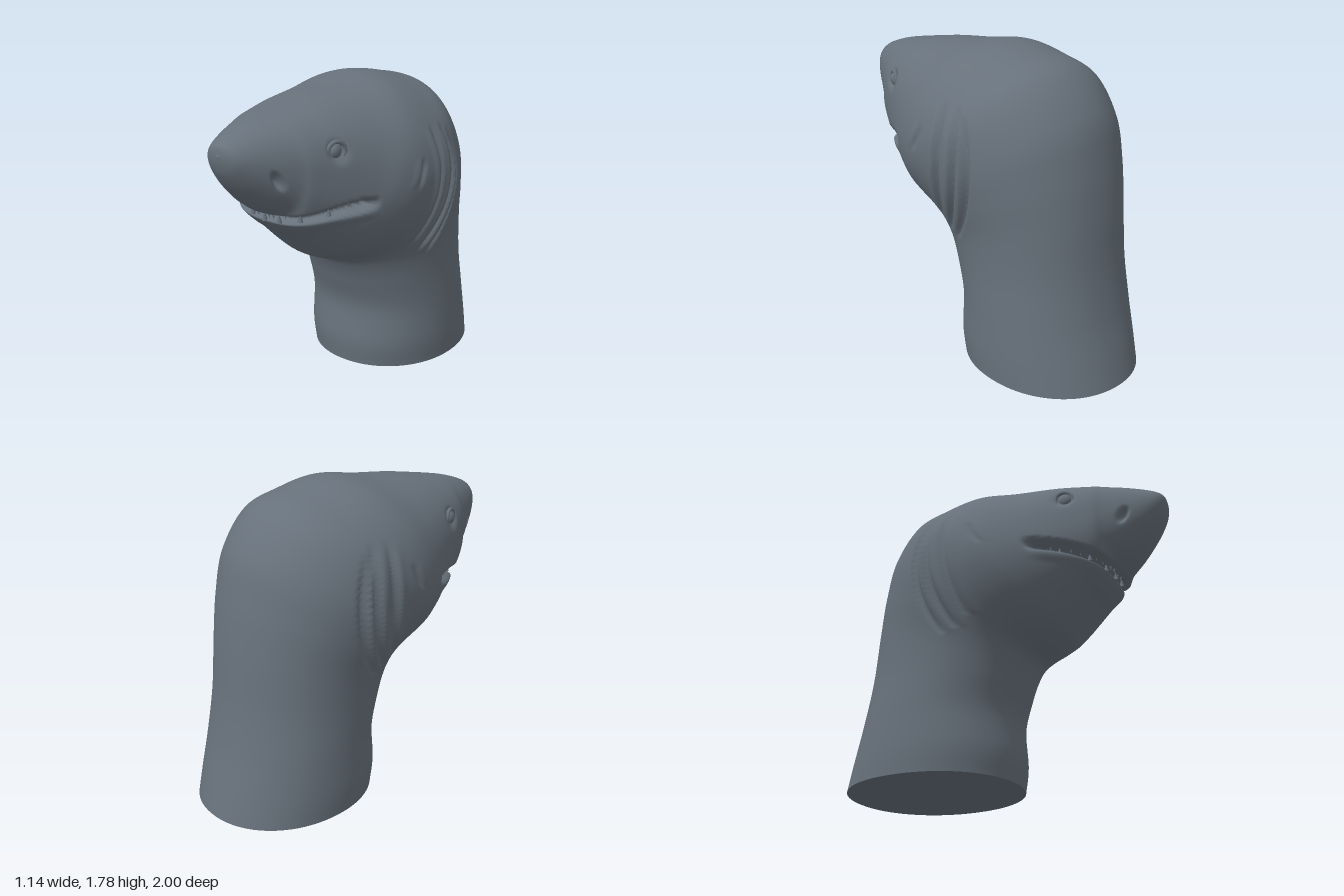
import * as THREE from 'three';

const skin = new THREE.MeshStandardMaterial({ color: 0x67717b });
skin.name = 'slate grey skin';

const SECTIONS = 220, SIDES = 160;

// Cross-sections from neck to snout: [back/top z, y, throat z, y, half width, roundness]
const sections = [
  [-1.0, 0, 0.03, 0, 0.465, 2.1],
  [-0.96, 0.16, 0.045, 0.15, 0.47, 2.1],
  [-0.905, 0.38, 0.03, 0.38, 0.463, 2.1],
  [-0.86, 0.65, 0.08, 0.56, 0.458, 2.1],
  [-0.83, 0.95, 0.12, 0.66, 0.47, 2.1],
  [-0.79, 1.22, 0.16, 0.72, 0.505, 2.05],
  [-0.72, 1.47, 0.22, 0.75, 0.54, 2],
  [-0.55, 1.68, 0.28, 0.77, 0.56, 2],
  [-0.33, 1.75, 0.36, 0.81, 0.555, 2],
  [-0.1, 1.785, 0.42, 0.86, 0.52, 2.05],
  [0.15, 1.75, 0.47, 0.91, 0.46, 2.15],
  [0.4, 1.72, 0.54, 0.98, 0.395, 2.3],
  [0.55, 1.695, 0.61, 1.035, 0.345, 2.4],
  [0.64, 1.68, 0.665, 1.09, 0.31, 2.4],
  [0.7, 1.67, 0.705, 1.15, 0.275, 2.3],
  [0.8, 1.65, 0.8, 1.22, 0.22, 2.2],
  [0.9, 1.62, 0.9, 1.32, 0.16, 2.1],
  [0.96, 1.595, 0.965, 1.41, 0.11, 2],
  [0.99, 1.57, 0.99, 1.47, 0.06, 2],
  [1.0, 1.526, 1.0, 1.524, 0.002, 2],
];

// Gill slits: curve z(y) as three [z, y] points, and depth
const gills = [
  [[-0.14, 1.52], [-0.15, 1.2], [-0.06, 0.86], 0.028],
  [[-0.24, 1.52], [-0.27, 1.18], [-0.13, 0.8], 0.034],
  [[-0.29, 1.48], [-0.35, 1.15], [-0.2, 0.77], 0.034],
  [[0.0, 1.38], [0.02, 1.31], [0.06, 1.24], 0.014],
];

const mouthY = z => 1.2 - 0.065 * ((z - 0.33) / 0.35) ** 2;
const falloff = d => Math.max(0, 1 - d * d) ** 2;

// Presses gill slits, mouth, eye sockets and nostrils into the skin
function sculpt(p) {
  const side = Math.sign(p.x);
  let push = 0;
  for (const [a, b, c, depth] of gills) {
    if (p.y > a[1] || p.y < c[1]) continue;
    const t = (a[1] - p.y) / (a[1] - c[1]);
    const z = a[0] * (1 - t) * (1 - 2 * t) + b[0] * 4 * t * (1 - t) + c[0] * t * (2 * t - 1);
    const d = p.z - z, fade = Math.sqrt(Math.sin(Math.PI * t));
    push += depth * fade * (falloff(d / 0.025) - 0.35 * falloff((d - 0.045) / 0.04));
  }
  push += 0.03 * falloff(Math.hypot(p.z - 0.5, p.y - 1.5) / 0.075);
  const slant = (p.z - 0.8) - (p.y - 1.39) * 0.4;
  push += 0.04 * falloff(Math.hypot(slant / 0.035, (p.y - 1.39) / 0.065));
  if (Math.abs(p.x) > 0.08) p.x -= side * push;

  if (p.z > 0.3) {
    const open = Math.min(1, (p.z - 0.3) / 0.1);
    const d = p.y - mouthY(p.z);
    const groove = falloff(d / 0.04) * open;
    p.x *= 1 - 0.14 * groove;
    p.z -= 0.06 * groove;
    // Raised lower lip below the gap
    p.x *= 1 + 0.025 * falloff((d + 0.06) / 0.04) * open;
  }
  return p;
}

function buildBody() {
  const top = new THREE.CatmullRomCurve3(
    sections.map(s => new THREE.Vector3(s[4], s[1], s[0])), false, 'catmullrom', 0.5);
  const low = new THREE.CatmullRomCurve3(
    sections.map(s => new THREE.Vector3(s[5], s[3], s[2])), false, 'catmullrom', 0.5);
  const pos = [], index = [];
  for (let i = 0; i <= SECTIONS; i++) {
    const a = top.getPoint(i / SECTIONS), b = low.getPoint(i / SECTIONS);
    for (let j = 0; j < SIDES; j++) {
      const t = (j / SIDES) * Math.PI * 2, e = 2 / b.x;
      const c = Math.sign(Math.cos(t)) * Math.abs(Math.cos(t)) ** e;
      const s = Math.sign(Math.sin(t)) * Math.abs(Math.sin(t)) ** e;
      const p = sculpt(new THREE.Vector3(
        s * a.x,
        (a.y + b.y) / 2 + c * (a.y - b.y) / 2,
        (a.z + b.z) / 2 + c * (a.z - b.z) / 2));
      pos.push(p.x, p.y, p.z);
      if (i < SECTIONS) {
        const k = (j + 1) % SIDES, n = i * SIDES, m = n + SIDES;
        index.push(n + j, m + j, n + k, m + j, m + k, n + k);
      }
    }
  }
  const geo = new THREE.BufferGeometry();
  geo.setAttribute('position', new THREE.Float32BufferAttribute(pos, 3));
  geo.setIndex(index);
  geo.computeVertexNormals();
  return geo;
}

// Flat underside closing the neck
function buildBase(body) {
  const pos = [0, 0, -0.485], index = [];
  const src = body.attributes.position;
  for (let j = 0; j < SIDES; j++) {
    pos.push(src.getX(j), src.getY(j), src.getZ(j));
    index.push(0, j + 1, ((j + 1) % SIDES) + 1);
  }
  const geo = new THREE.BufferGeometry();
  geo.setAttribute('position', new THREE.Float32BufferAttribute(pos, 3));
  geo.setIndex(index);
  geo.computeVertexNormals();
  return geo;
}

export function createModel() {
  const model = new THREE.Group();
  model.name = 'sharkHead';
  const add = (name, geo, x, y, z) => {
    const mesh = new THREE.Mesh(geo, skin);
    mesh.name = name;
    mesh.position.set(x, y, z);
    model.add(mesh);
    return mesh;
  };

  const bodyGeo = buildBody();
  add('headAndNeck', bodyGeo, 0, 0, 0);
  add('neckBase', buildBase(bodyGeo), 0, 0, 0);

  // Closest skin point, with a weight per axis
  const src = bodyGeo.attributes.position;
  const nearest = (x, y, z, wx, wy, wz) => {
    let best = Infinity;
    const p = new THREE.Vector3(), out = new THREE.Vector3();
    for (let i = 0; i < src.count; i++) {
      p.fromBufferAttribute(src, i);
      if (p.z < -0.2 || p.x * x < 0) continue;
      const d = wx * (p.x - x) ** 2 + wy * (p.y - y) ** 2 + wz * (p.z - z) ** 2;
      if (d < best) { best = d; out.copy(p); }
    }
    return out;
  };

  // Eyes with raised lids
  const eyeSpot = nearest(0.4, 1.5, 0.5, 0.01, 1, 1);
  for (const s of [1, -1]) {
    const name = s > 0 ? 'left' : 'right';
    const eye = add(name + 'Eye', new THREE.SphereGeometry(0.042, 24, 16), s * eyeSpot.x, 1.5, 0.5);
    eye.scale.x = 0.75;
    const lid = add(name + 'Eyelid', new THREE.TorusGeometry(0.05, 0.012, 8, 28),
      s * (eyeSpot.x + 0.012), 1.5, 0.5);
    lid.rotation.y = s * 1.2;
  }

  // Teeth along both jaws
  const toothGeo = new THREE.ConeGeometry(0.016, 0.055, 6);
  for (let i = 0; i < 22; i++) {
    const x = -0.34 + (0.68 * i) / 21;
    const z = 0.67 - 0.27 * (Math.abs(x) / 0.34) ** 2;
    const y = mouthY(z);
    const p = nearest(x, y, z, 1, 3, 0.3);
    const upper = i % 3 !== 1;
    const tooth = add(upper ? 'upperTooth' : 'lowerTooth', toothGeo,
      p.x * 1.03, y + (upper ? 0.008 : -0.012), p.z + 0.012);
    if (upper) tooth.rotation.x = Math.PI;
  }
  return model;
}
